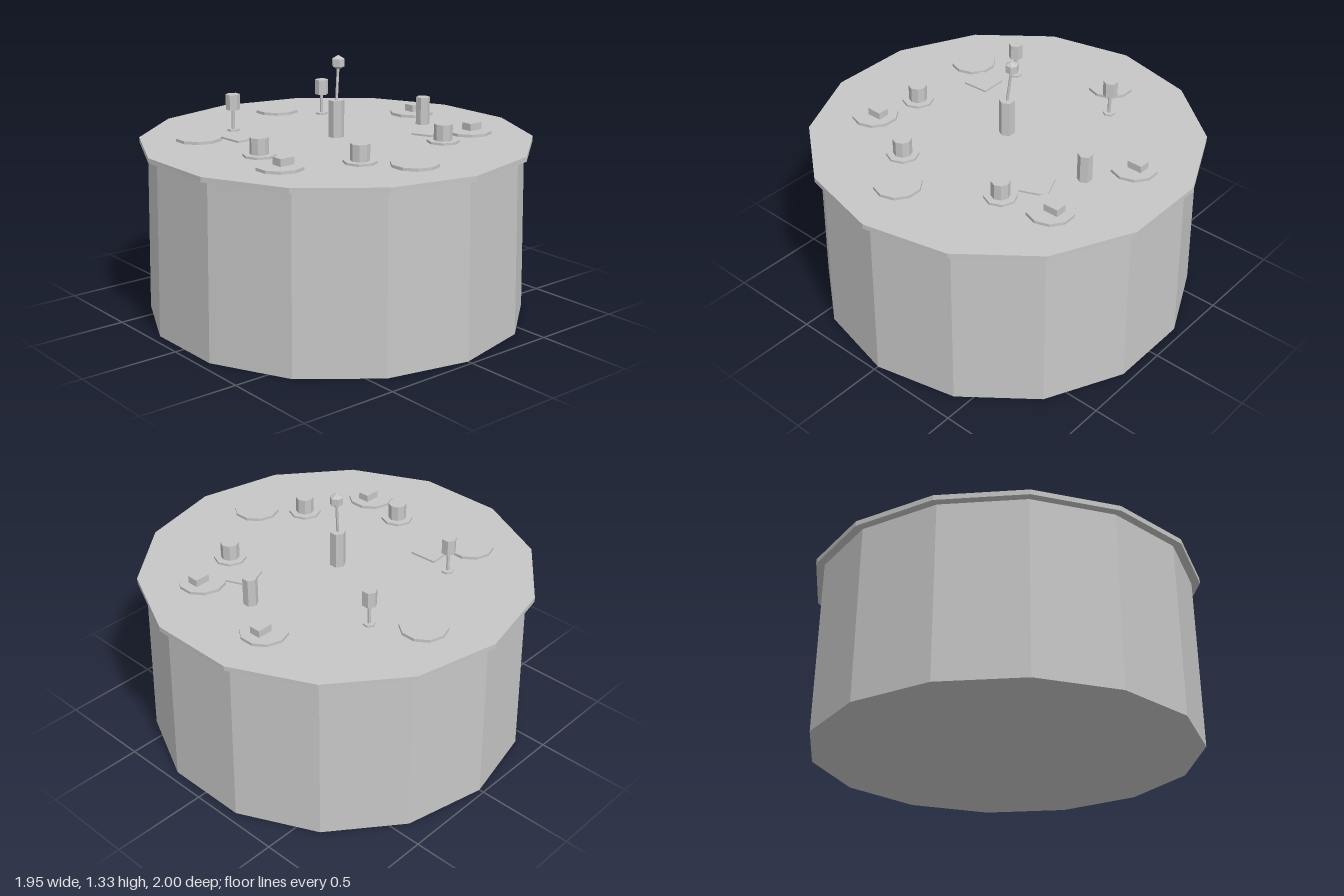
import * as THREE from 'three';

export function createModel() {
  const model = new THREE.Group();
  const grey = new THREE.MeshStandardMaterial({ color: 0xc6c6c6, flatShading: true });
  grey.name = 'plain grey';
  const DECK = 0.91;

  function add(name, geometry, x, y, z, turn = 0) {
    const mesh = new THREE.Mesh(geometry, grey);
    mesh.name = name;
    mesh.position.set(x, y, z);
    mesh.rotation.y = turn;
    model.add(mesh);
    return mesh;
  }
  // Upright prism standing on height y
  function prism(name, x, z, y, radius, height, sides) {
    return add(name, new THREE.CylinderGeometry(radius, radius, height, sides), x, y + height / 2, z);
  }

  // Tapered drum and overhanging deck
  add('drum', new THREE.CylinderGeometry(0.957, 0.975, 0.885, 14), 0, 0.4425, 0);
  prism('deck', 0, 0, 0.885, 1, DECK - 0.885, 14);

  // Flat round pads
  const pads = [[0.133, -0.68], [-0.577, -0.387], [0.67, -0.165], [0.583, 0.363], [-0.607, 0.327], [-0.09, 0.683]];
  for (const [x, z] of pads) prism('roundPad', x, z, DECK, 0.118, 0.015, 10);

  // Small boxes on three of the pads
  for (const [x, z] of [[0.69, -0.165], [0.605, 0.363], [-0.585, 0.327]])
    add('padBox', new THREE.BoxGeometry(0.08, 0.04, 0.06), x, 0.942, z);

  // Stout drums on octagonal plinths
  for (const [x, z] of [[-0.542, 0.08], [-0.254, 0.483], [0.335, 0.43]]) {
    prism('plinth', x, z, DECK, 0.082, 0.012, 8);
    prism('smallTank', x, z, DECK + 0.012, 0.047, 0.082, 8);
  }

  // Thin square plates
  for (const [x, z, turn] of [[-0.402, -0.273, 0.045], [0.41, 0.253, 0.4]])
    add('squarePlate', new THREE.BoxGeometry(0.14, 0.01, 0.14), x, DECK + 0.005, z, turn);

  // Posts with hexagonal heads
  for (const [x, z] of [[-0.325, -0.445], [0.283, -0.472]]) {
    prism('postFoot', x, z, DECK, 0.032, 0.01, 6);
    prism('post', x, z, DECK, 0.009, 0.12, 6);
    prism('postHead', x, z, 1.022, 0.037, 0.08, 6);
  }

  // Plain pillar and the central tower
  prism('pillar', 0.542, 0.06, DECK, 0.037, 0.145, 6);
  prism('tower', 0, 0, DECK, 0.04, 0.19, 6);

  // Leaning mast with a faceted ball
  const foot = new THREE.Vector3(0, 1.09, 0);
  const tip = new THREE.Vector3(0.022, 1.287, -0.012);
  const lean = tip.clone().sub(foot);
  const mid = foot.clone().add(tip).multiplyScalar(0.5);
  const mast = add('mast', new THREE.CylinderGeometry(0.007, 0.007, lean.length(), 6), mid.x, mid.y, mid.z);
  mast.quaternion.setFromUnitVectors(new THREE.Vector3(0, 1, 0), lean.normalize());
  add('mastBall', new THREE.SphereGeometry(0.038, 6, 3), tip.x, tip.y, tip.z);

  return model;
}
